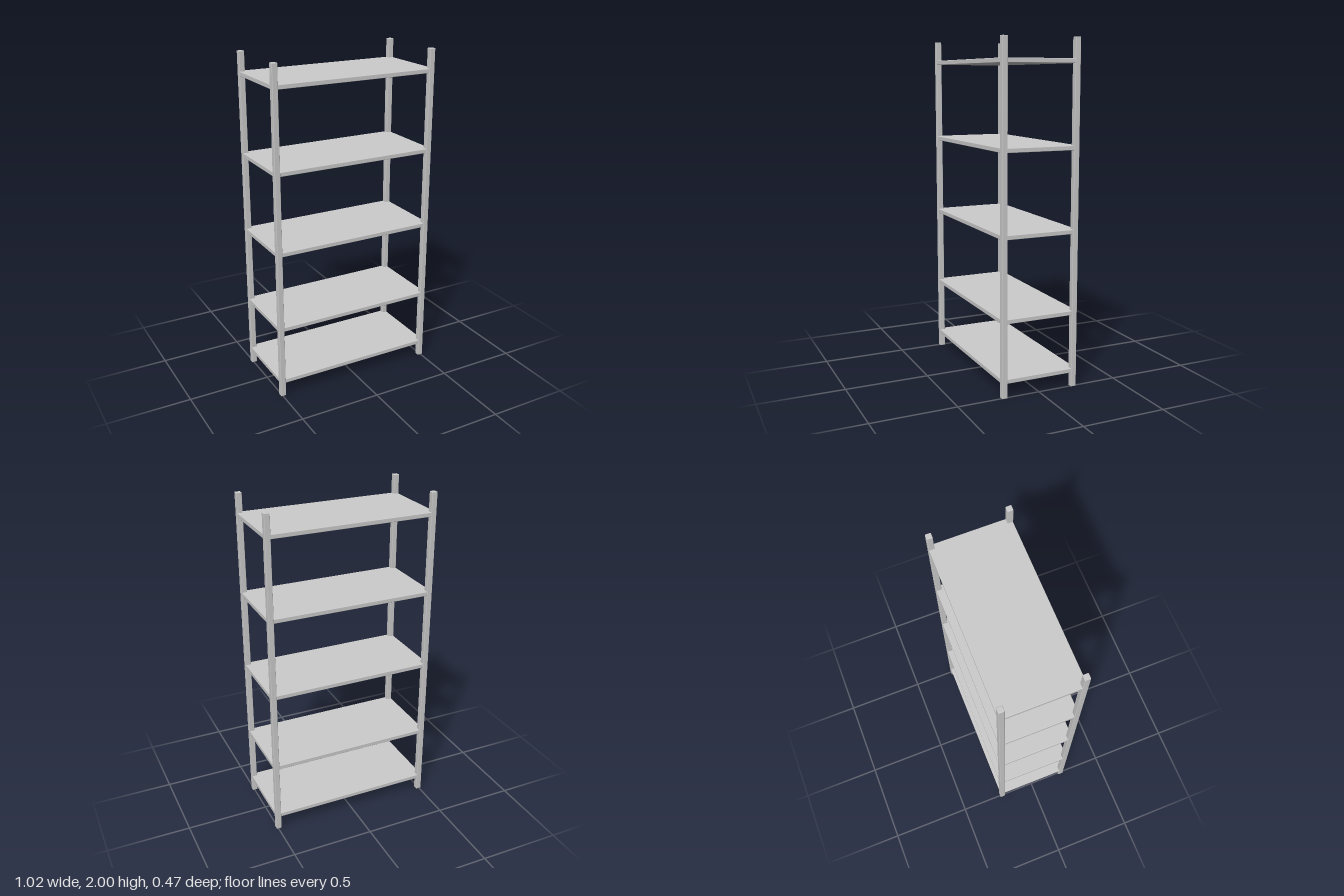
import * as THREE from 'three';
import { RoundedBoxGeometry } from 'three/addons/geometries/RoundedBoxGeometry.js';

const HEIGHT = 2, HALF_W = 0.512, HALF_D = 0.237;
const POST = 0.033, SHELF = 0.026, INSET = 0.002, BEVEL = 0.003;

export function createModel() {
  const group = new THREE.Group();
  group.name = 'shelvingUnit';
  const material = new THREE.MeshStandardMaterial({ color: 0xcccccc });

  const add = (name, geometry, x, y, z) => {
    const mesh = new THREE.Mesh(geometry, material);
    mesh.name = name;
    mesh.position.set(x, y, z);
    group.add(mesh);
  };

  // Four square corner posts
  const postGeometry = new RoundedBoxGeometry(POST, HEIGHT, POST, 2, BEVEL);
  for (const [side, sx] of [['Left', 1], ['Right', -1]]) {
    for (const [end, sz] of [['front', 1], ['back', -1]]) {
      add(`${end}${side}Post`, postGeometry,
        sx * (HALF_W - POST / 2), HEIGHT / 2, sz * (HALF_D - POST / 2));
    }
  }

  // Five flat shelves, the lowest one closer to its neighbour
  const shelfGeometry = new RoundedBoxGeometry(
    2 * (HALF_W - INSET), SHELF, 2 * (HALF_D - INSET), 2, BEVEL);
  [0.098, 0.445, 0.92, 1.395, 1.872].forEach((y, i) =>
    add(`shelf${i + 1}`, shelfGeometry, 0, y, 0));

  return group;
}
